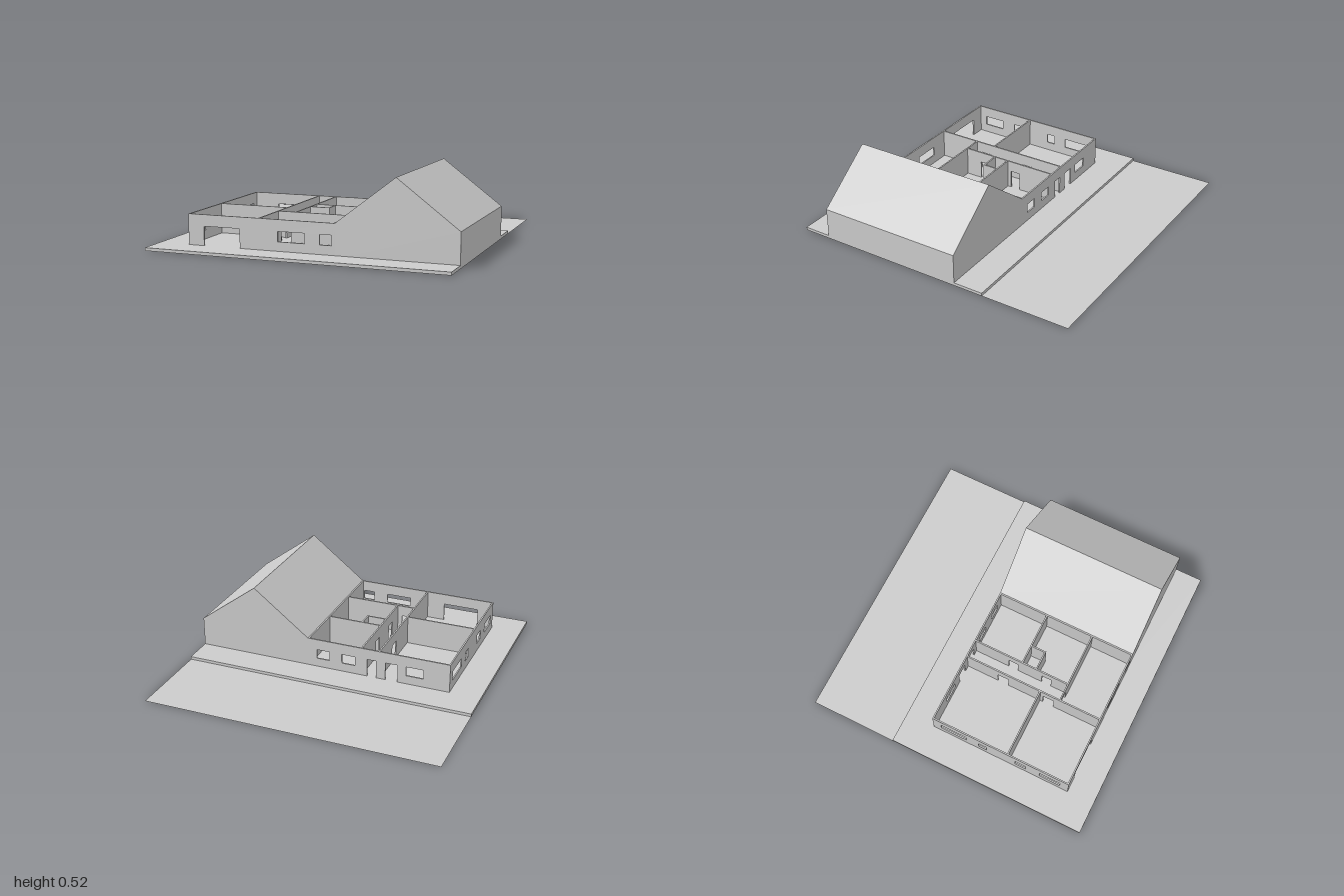
import * as THREE from 'three';

const BASE = 0.02, TOP = 0.22, HEAD = 0.145, SILL = 0.08, T = 0.01;
const mat = new THREE.MeshStandardMaterial({ color: 0xcccccc, flatShading: true });
const matThin = new THREE.MeshStandardMaterial({ color: 0xcccccc, side: THREE.DoubleSide });

function add(parent, name, geometry, material = mat) {
  const mesh = new THREE.Mesh(geometry, material);
  mesh.name = name;
  parent.add(mesh);
  return mesh;
}

const polygon = (points) => new THREE.Shape(points.map(([a, b]) => new THREE.Vector2(a, b)));
const extrude = (shape, depth) => new THREE.ExtrudeGeometry(shape, { depth, bevelEnabled: false });

// Wall with door notches and window holes; 'at' is its lower face along the other axis.
// axis 'x' runs along x at z = at, axis 'z' runs along z at x = at.
function wall(parent, name, axis, at, from, to, doors = [], windows = []) {
  const pts = [[from, BASE]];
  for (const [a, b] of doors) pts.push([a, BASE], [a, HEAD], [b, HEAD], [b, BASE]);
  pts.push([to, BASE], [to, TOP], [from, TOP]);
  const shape = polygon(pts);
  for (const [a, b] of windows) {
    shape.holes.push(polygon([[a, SILL], [a, HEAD], [b, HEAD], [b, SILL]]));
  }
  const geo = extrude(shape, T);
  if (axis === 'x') geo.translate(0, 0, at);
  else geo.rotateY(-Math.PI / 2).translate(at + T, 0, 0);
  add(parent, name, geo);
}

function box(parent, name, x0, x1, y0, y1, z0, z1) {
  const geo = new THREE.BoxGeometry(x1 - x0, y1 - y0, z1 - z0);
  geo.translate((x0 + x1) / 2, (y0 + y1) / 2, (z0 + z1) / 2);
  return add(parent, name, geo);
}

export function createModel() {
  const model = new THREE.Group();
  model.name = 'house';

  // Ground: flat rear yard and a raised slab notched around the gabled block
  const yard = new THREE.PlaneGeometry(2, 0.605).rotateX(-Math.PI / 2).translate(0, 0, -0.6975);
  add(model, 'rearYard', yard, matThin);
  const slab = polygon([
    [-1, -0.395], [1, -0.395], [1, -0.19], [0.21, -0.19],
    [0.21, 0.81], [1, 0.81], [1, 1], [-1, 1],
  ]);
  add(model, 'slab', extrude(slab, BASE).rotateX(Math.PI / 2).translate(0, BASE, 0));

  // Outer walls of the open-topped wing
  const outer = new THREE.Group();
  outer.name = 'outerWalls';
  model.add(outer);
  wall(outer, 'frontWall', 'x', 0.80, -0.79, 0.20, [[-0.68, -0.43]], [[-0.17, 0.01], [0.11, 0.19]]);
  wall(outer, 'backWall', 'x', -0.19, -0.79, 0.20, [[-0.43, -0.345], [-0.28, -0.215]],
    [[-0.61, -0.49], [-0.13, -0.035], [0.055, 0.145]]);
  wall(outer, 'rightWall', 'z', -0.79, -0.18, 0.80, [],
    [[-0.13, 0.06], [0.15, 0.21], [0.42, 0.50], [0.60, 0.75]]);
  wall(outer, 'sharedWall', 'z', 0.20, -0.19, 0.81);

  // Partitions
  const inner = new THREE.Group();
  inner.name = 'partitions';
  model.add(inner);
  wall(inner, 'hallRightWall', 'z', -0.305, -0.18, 0.80, [[0.05, 0.13], [0.39, 0.47]]);
  wall(inner, 'hallLeftWall', 'z', -0.18, -0.18, 0.505, [[0.07, 0.14], [0.32, 0.39]]);
  wall(inner, 'rightRoomsWall', 'x', 0.36, -0.78, -0.305);
  wall(inner, 'leftRoomsWall', 'x', 0.165, -0.17, 0.20);
  wall(inner, 'frontRoomWall', 'x', 0.505, -0.295, 0.20, [[-0.28, -0.21]]);
  wall(inner, 'closetSide', 'z', -0.045, 0.175, 0.28);
  wall(inner, 'closetFront', 'x', 0.27, -0.17, -0.045);

  // Gabled block: three walls, open below, with a closed attic on top
  const gabled = new THREE.Group();
  gabled.name = 'gabledBlock';
  model.add(gabled);
  box(gabled, 'gabledFrontWall', 0.21, 1, 0, TOP, 0.80, 0.81);
  box(gabled, 'gabledBackWall', 0.21, 1, 0, TOP, -0.19, -0.18);
  box(gabled, 'gabledSideWall', 0.99, 1, 0, TOP, -0.18, 0.80);
  box(gabled, 'sharedFooting', 0.20, 0.21, 0, BASE, -0.18, 0.80);
  const attic = polygon([[0.21, TOP], [1, TOP], [0.6, 0.52]]);
  add(gabled, 'gableRoof', extrude(attic, 1).translate(0, 0, -0.19));

  return model;
}
